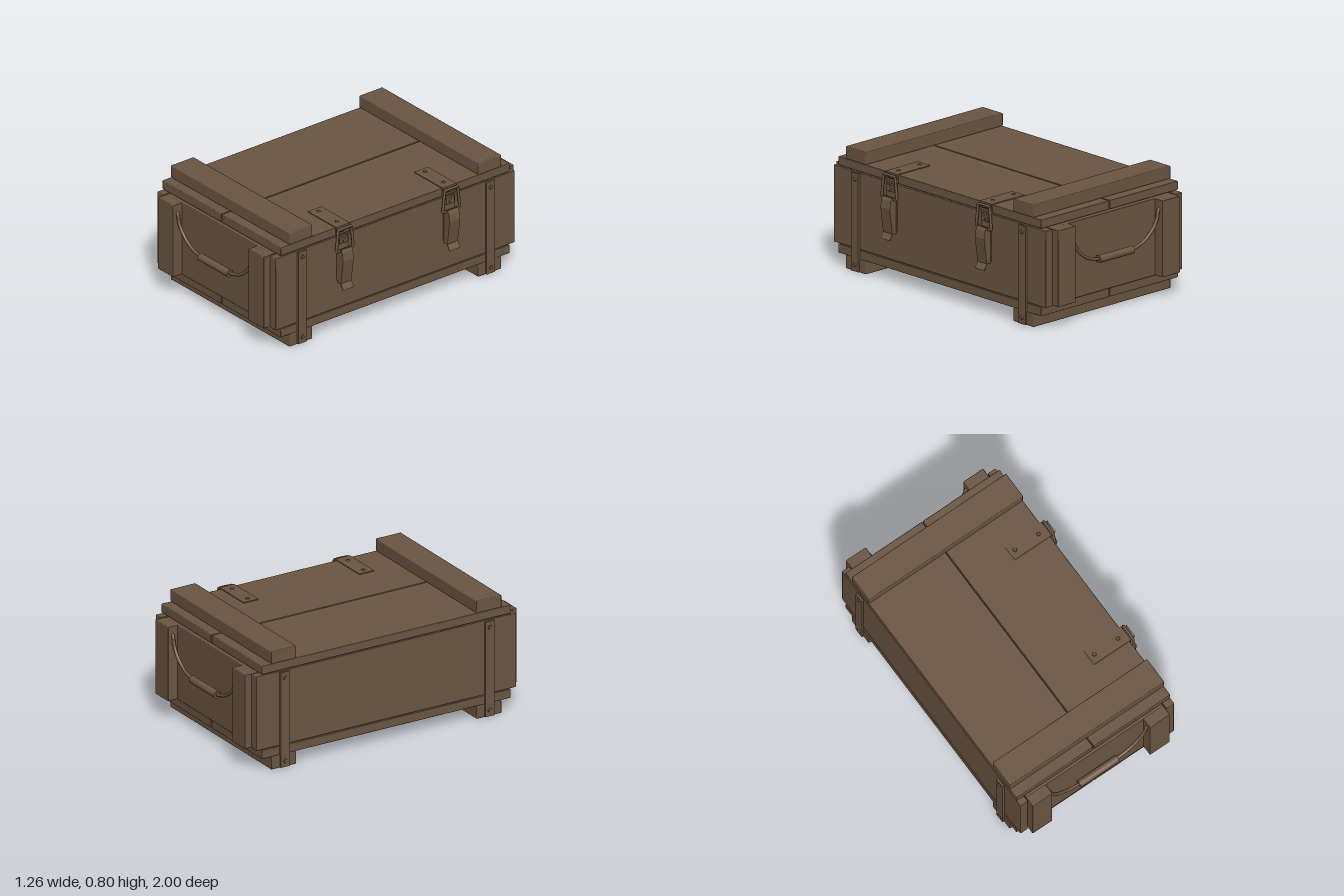
import * as THREE from 'three';
import { RoundedBoxGeometry } from 'three/addons/geometries/RoundedBoxGeometry.js';

const paint = new THREE.MeshStandardMaterial({ color: 0x6b5542 });
paint.name = 'brownPaint';

const CX = -0.027; // middle of the case; the latches stick out on +x

function add(parent, name, geometry) {
  const mesh = new THREE.Mesh(geometry, paint);
  mesh.name = name;
  parent.add(mesh);
  return mesh;
}

// Box from min/max pairs, with softly broken edges when r > 0
function slab(parent, name, [x0, x1], [y0, y1], [z0, z1], r = 0.005) {
  const size = [x1 - x0, y1 - y0, z1 - z0];
  const geometry = r ? new RoundedBoxGeometry(...size, 1, r) : new THREE.BoxGeometry(...size);
  const mesh = add(parent, name, geometry);
  mesh.position.set((x0 + x1) / 2, (y0 + y1) / 2, (z0 + z1) / 2);
  return mesh;
}

// Domed rivet whose axis lies along x or y
function rivet(parent, name, x, y, z, r, h, axis) {
  const mesh = add(parent, name, new THREE.CylinderGeometry(r * 0.75, r, h, 14));
  mesh.position.set(x, y, z);
  if (axis !== 'y') mesh.rotation.z = axis === '+x' ? -Math.PI / 2 : Math.PI / 2;
}

function tube(parent, name, curve, segments, r, closed = false) {
  return add(parent, name, new THREE.TubeGeometry(curve, segments, r, 10, closed));
}

// Rope handle with grip, between two posts on one end of the case
function createEnd(sign) {
  const end = new THREE.Group();
  end.name = sign > 0 ? 'frontEnd' : 'backEnd';
  const zs = (a, b) => (sign > 0 ? [a, b] : [-b, -a]);
  slab(end, 'endPanel', [-0.55, 0.495], [0.148, 0.65], zs(0.865, 0.93));
  slab(end, 'leftPost', [0.345, 0.497], [0.15, 0.65], zs(0.925, 1));
  slab(end, 'rightPost', [-0.551, -0.4], [0.15, 0.65], zs(0.925, 1));

  const z = sign * 0.965;
  const half = [[0.39, 0.6], [0.37, 0.585], [0.357, 0.53], [0.32, 0.468],
    [0.24, 0.404], [0.14, 0.374]];
  for (const side of [-1, 1]) {
    const pts = half.map(([x, y]) => new THREE.Vector3(CX + side * x, y, z));
    tube(end, 'handleRope', new THREE.CatmullRomCurve3(pts), 28, 0.011);
  }
  const grip = add(end, 'handleGrip', new THREE.CylinderGeometry(0.025, 0.025, 0.292, 24));
  grip.rotation.z = Math.PI / 2;
  grip.position.set(CX, 0.374, z);
  return end;
}

// Toggle latch on the +x side
function createLatch(z) {
  const latch = new THREE.Group();
  latch.name = 'latch';
  latch.position.z = z;

  // Hinge plate on the lid, bent over the edge into a hook
  slab(latch, 'lidPlate', [0.29, 0.572], [0.714, 0.721], [-0.054, 0.054], 0);
  slab(latch, 'lidPlateLip', [0.563, 0.572], [0.665, 0.72], [-0.054, 0.054], 0);
  for (const x of [0.33, 0.51]) rivet(latch, 'lidScrew', x, 0.723, 0, 0.014, 0.006, 'y');
  const hook = tube(latch, 'hook', new THREE.CatmullRomCurve3([
    new THREE.Vector3(0.568, 0.69, 0), new THREE.Vector3(0.58, 0.69, 0),
    new THREE.Vector3(0.594, 0.7, 0), new THREE.Vector3(0.61, 0.705, 0),
  ]), 12, 0.005);
  hook.scale.z = 9;

  // Base plate and its small catch on the case
  slab(latch, 'basePlate', [0.563, 0.57], [0.345, 0.645], [-0.045, 0.045], 0);
  slab(latch, 'catch', [0.568, 0.582], [0.6, 0.645], [-0.034, 0.034], 0.003);
  rivet(latch, 'catchRivet', 0.584, 0.622, 0, 0.014, 0.006, '+x');

  // Trapezoid wire loop
  const corners = [[0.708, -0.052], [0.708, 0.052], [0.558, 0.068], [0.558, -0.068]]
    .map(([y, w]) => new THREE.Vector3(0.588, y, w));
  const loop = new THREE.CurvePath();
  corners.forEach((c, i) => loop.add(new THREE.LineCurve3(c, corners[(i + 1) % 4])));
  tube(latch, 'wireLoop', loop, 80, 0.009, true);

  // Lever body and its flared finger tab
  const lever = new THREE.Shape([[0.566, 0.333], [0.602, 0.333], [0.625, 0.5], [0.616, 0.55],
    [0.605, 0.572], [0.59, 0.565], [0.566, 0.55]].map((p) => new THREE.Vector2(...p)));
  const body = new THREE.ExtrudeGeometry(lever, { depth: 0.084, bevelEnabled: false });
  add(latch, 'lever', body.translate(0, 0, -0.042));
  const tab = add(latch, 'leverTab', new THREE.BoxGeometry(0.006, 0.046, 0.084));
  tab.position.set(0.611, 0.315, 0);
  tab.rotation.z = 0.54;
  return latch;
}

export function createModel() {
  const crate = new THREE.Group();
  crate.name = 'crate';
  const width = [-0.617, 0.563];

  // Lid and floor: two planks each, split lengthwise
  for (const [name, ys] of [['lidPlank', [0.657, 0.715]], ['floorPlank', [0.086, 0.145]]]) {
    slab(crate, name, [-0.615, -0.03], ys, [-0.915, 0.915]);
    slab(crate, name, [-0.024, 0.561], ys, [-0.915, 0.915]);
  }

  // Long side walls
  slab(crate, 'rightWall', [-0.613, -0.555], [0.149, 0.651], [-0.955, 0.955]);
  slab(crate, 'leftWall', [0.502, 0.561], [0.149, 0.651], [-0.955, 0.955]);

  for (const s of [-1, 1]) {
    crate.add(createEnd(s));
    // Cross battens above the lid and below the floor
    const zs = s > 0 ? [0.662, 0.846] : [-0.846, -0.662];
    slab(crate, 'lidBatten', width, [0.714, 0.797], zs, 0.006);
    slab(crate, 'footBatten', width, [0, 0.087], zs, 0.006);

    // Metal straps with rivets on both long sides
    const z = s * 0.752;
    for (const side of [-1, 1]) {
      const x = CX + side * 0.595;
      slab(crate, 'strap', [x - 0.007, x + 0.007], [0.004, 0.645], [z - 0.033, z + 0.033], 0);
      for (const y of [0.045, 0.605]) {
        rivet(crate, 'strapRivet', x + side * 0.009, y, z, 0.015, 0.01, side > 0 ? '+x' : '-x');
      }
    }
    crate.add(createLatch(s * 0.425));
  }
  return crate;
}
